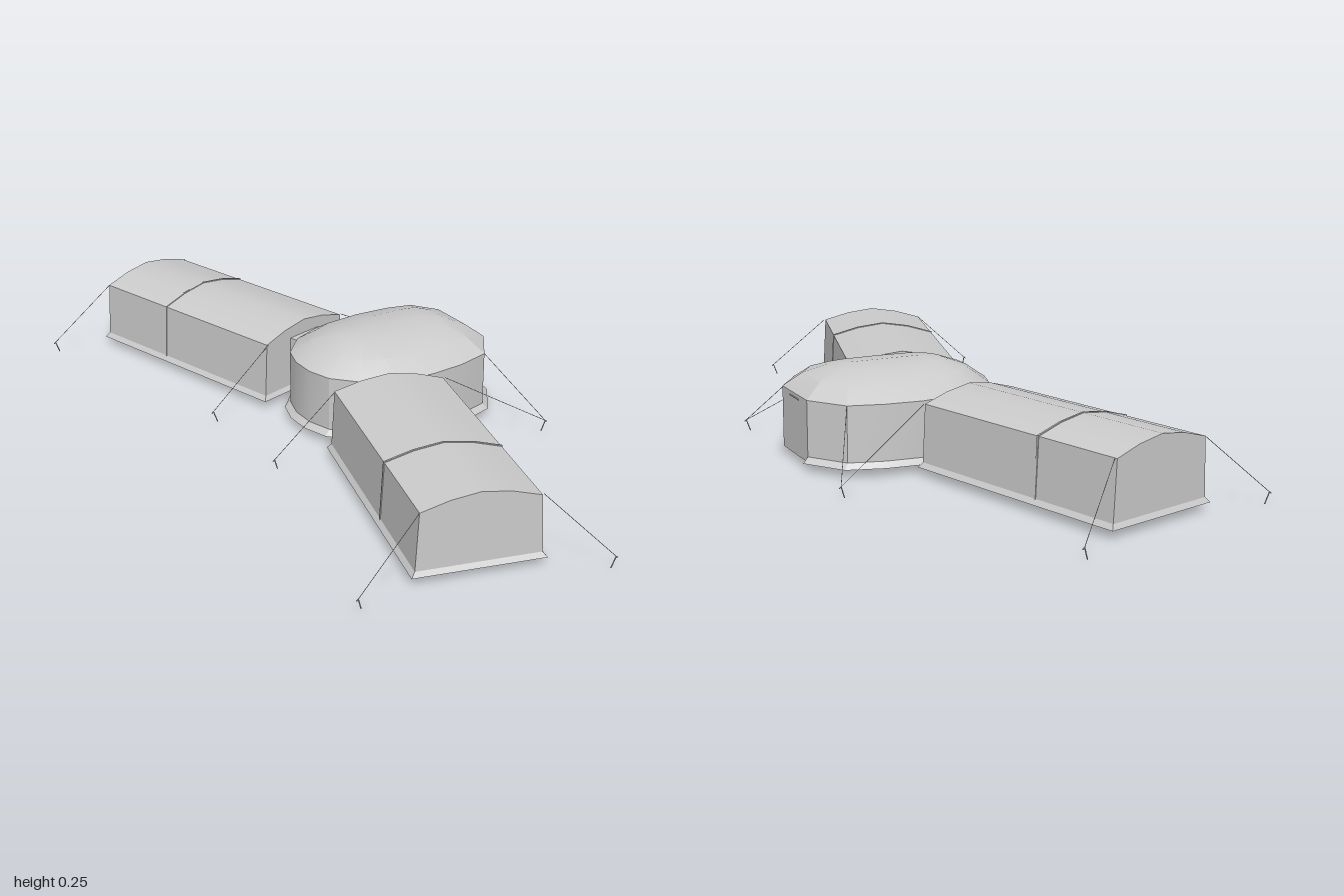
import * as THREE from 'three';
import { toCreasedNormals } from 'three/addons/utils/BufferGeometryUtils.js';

const material = new THREE.MeshStandardMaterial({ color: 0xcccccc, side: THREE.DoubleSide });

function addMesh(parent, name, geometry) {
  const mesh = new THREE.Mesh(geometry, material);
  mesh.name = name;
  parent.add(mesh);
  return mesh;
}

// Skin stacked rings of [x, y, z] points, listed from the bottom up.
function loft(rings, { closed = true, floor = true } = {}) {
  const n = rings[0].length, pos = [];
  const tri = (...points) => points.forEach((p) => pos.push(...p));
  for (let k = 0; k < rings.length - 1; k++) {
    const lo = rings[k], hi = rings[k + 1];
    for (let i = 0; i < (closed ? n : n - 1); i++) {
      const j = (i + 1) % n;
      tri(lo[i], hi[i], lo[j]);
      tri(lo[j], hi[i], hi[j]);
    }
  }
  if (floor) for (let i = 1; i < n - 1; i++) tri(rings[0][0], rings[0][i], rings[0][i + 1]);
  const g = new THREE.BufferGeometry();
  g.setAttribute('position', new THREE.Float32BufferAttribute(pos, 3));
  return toCreasedNormals(g, 0.3);
}

// Thin round bar between two points.
function bar(parent, name, a, b, radius) {
  const from = new THREE.Vector3(...a), to = new THREE.Vector3(...b);
  const dir = to.clone().sub(from);
  const mesh = addMesh(parent, name, new THREE.CylinderGeometry(radius, radius, dir.length(), 5));
  mesh.position.copy(from).add(to).multiplyScalar(0.5);
  mesh.quaternion.setFromUnitVectors(new THREE.Vector3(0, 1, 0), dir.normalize());
}

// Tent cross-section, optionally grown outwards, extruded along z.
function tentSection(length, grow = 0) {
  const half = [[0.156, 0.03], [0.148, 0.183], [0.075, 0.204]];
  const pts = [
    ...half.map(([x, y]) => new THREE.Vector2(x + grow, y + (y > 0.1 ? grow : 0))),
    new THREE.Vector2(0, 0.215 + grow),
    ...half.slice().reverse().map(([x, y]) => new THREE.Vector2(-x - grow, y + (y > 0.1 ? grow : 0))),
  ];
  const g = new THREE.ExtrudeGeometry(new THREE.Shape(pts), { depth: length, bevelEnabled: false });
  return toCreasedNormals(g, 0.3);
}

function createWing() {
  const wing = new THREE.Group();
  const length = 0.675;
  addMesh(wing, 'wingBody', tentSection(length - 0.016)).position.z = 0.008;
  addMesh(wing, 'wingSeam', tentSection(0.005, 0.002)).position.z = 0.413;

  // Flared skirt with the ground sheet
  const rect = (w, y, inset) => [
    [w, y, inset], [w, y, length - inset], [-w, y, length - inset], [-w, y, inset],
  ];
  addMesh(wing, 'wingSkirt', loft([rect(0.166, 0.02, 0), rect(0.156, 0.033, 0.008)]));

  // Passage into the central dome
  addMesh(wing, 'passage', new THREE.BoxGeometry(0.11, 0.155, 0.06)).position.set(0, 0.0975, -0.015);
  return wing;
}

function createDome() {
  const dome = new THREE.Group();
  const half = [
    [0.435, 0.09], [0.365, 0.187], [0.27, 0.212], [0.17, 0.22],
    [0.07, 0.205], [-0.01, 0.17], [-0.075, 0.1], [-0.095, 0.035],
  ];
  const outline = [...half, ...half.slice().reverse().map(([x, z]) => [x, -z])];

  // Upright walls, then the roof closing onto a short ridge
  const ring = (y, t) => outline.map(([x, z]) => {
    const ridgeX = THREE.MathUtils.clamp(x, 0.08, 0.28);
    return [x + (ridgeX - x) * t, y, z * (1 - t)];
  });
  addMesh(dome, 'domeBody', loft([
    ring(0.02, 0), ring(0.183, 0), ring(0.22, 0.3), ring(0.243, 0.66), ring(0.25, 1),
  ]));

  // Flared skirt, left open at the doorway
  const flare = outline.map(([x, z]) => {
    const d = new THREE.Vector2(x - 0.17, z).normalize().multiplyScalar(0.016);
    return [x + d.x, 0.02, z + d.y];
  });
  addMesh(dome, 'domeSkirt', loft([flare, ring(0.035, 0)], { closed: false, floor: false }));

  // Rolled door and its side edges
  bar(dome, 'doorRoll', [0.436, 0.172, -0.03], [0.436, 0.172, 0.03], 0.002);
  return dome;
}

export function createModel() {
  const model = new THREE.Group();
  model.name = 'tentCamp';

  const dome = createDome();
  dome.name = 'centralDome';
  model.add(dome);

  // Rope tie points and the stake each runs to, on the front half
  const ropes = [
    [[0.01, 0.183, 0.885], [0.145, 0.03, 0.992]],
    [[-0.28, 0.183, 0.808], [-0.455, 0.03, 0.83]],
    [[-0.1, 0.183, 0.173], [-0.28, 0.03, 0.165]],
    [[0.185, 0.183, 0.255], [0.45, 0.03, 0.355]],
    [[0.365, 0.183, 0.187], [0.45, 0.03, 0.355]],
  ];

  for (const s of [1, -1]) {
    const wing = createWing();
    wing.name = s > 0 ? 'frontWing' : 'backWing';
    wing.position.set(0.04, 0, s * 0.205);
    wing.rotation.y = s > 0 ? -0.27 : Math.PI + 0.27;
    model.add(wing);

    const rigging = new THREE.Group();
    rigging.name = s > 0 ? 'frontRigging' : 'backRigging';
    ropes.forEach(([tie, [x, y, z]], i) => {
      bar(rigging, 'guyRope', [tie[0], tie[1], s * tie[2]], [x, y, s * z], 0.0008);
      if (i === 4) return; // shares the previous stake
      const lean = Math.sign(x) * 0.01;
      bar(rigging, 'stake', [x, y, s * z], [x - lean, 0, s * (z - 0.004)], 0.0015);
      bar(rigging, 'stakeHook', [x, y, s * z], [x + lean * 0.5, y - 0.004, s * z], 0.0015);
    });
    model.add(rigging);
  }
  return model;
}
